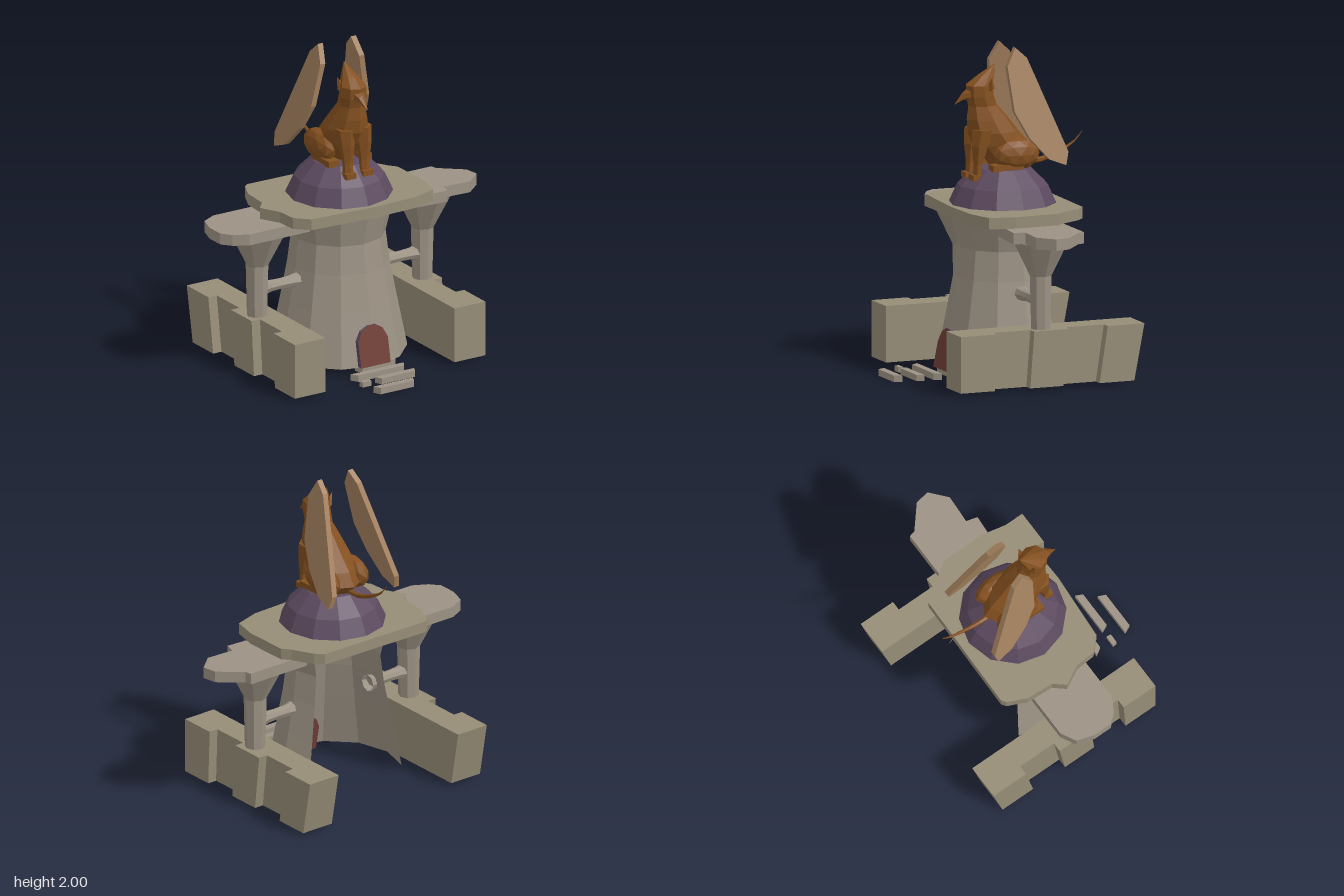
import * as THREE from 'three';

const CX = -0.022; // symmetry axis of the building
const CZ = -0.065; // tower axis in depth

const mat = (name, color) => {
  const m = new THREE.MeshStandardMaterial({ color, flatShading: true, side: THREE.DoubleSide });
  m.name = name;
  return m;
};

export function createModel() {
  const stone = mat('stone', 0x9c9284);
  const masonry = mat('masonry', 0x968d77);
  const purple = mat('purple', 0x5d4a60);
  const doorRed = mat('doorRed', 0x6f3f37);
  const brown = mat('brown', 0x84501f);
  const feather = mat('feather', 0xa5825f);

  const root = new THREE.Group();
  root.name = 'guardianTower';

  const add = (name, geo, material, x = 0, y = 0, z = 0, parent = root) => {
    const m = new THREE.Mesh(geo, material);
    m.name = name;
    m.position.set(x, y, z);
    parent.add(m);
    return m;
  };
  // Moves every vertex by a rule
  const warp = (geo, rule) => {
    const p = geo.attributes.position, v = new THREE.Vector3();
    for (let i = 0; i < p.count; i++) {
      v.fromBufferAttribute(p, i);
      rule(v);
      p.setXYZ(i, v.x, v.y, v.z);
    }
    geo.computeVertexNormals();
    return geo;
  };
  // Flat slab from a plan outline of [x, z] points
  const slab = (pts, y0, y1) => {
    const s = new THREE.Shape(pts.map(([x, z]) => new THREE.Vector2(x, -z)));
    const g = new THREE.ExtrudeGeometry(s, { depth: y1 - y0, bevelEnabled: false });
    return g.rotateX(-Math.PI / 2).translate(0, y0, 0);
  };
  // Body from rings [y, zFront, zBack, halfWidth], listed top to bottom
  const loft = (rings, sides) => {
    const n = rings.length - 1;
    return warp(new THREE.CylinderGeometry(1, 1, 1, sides, n), (v) => {
      const [y, f, b, w] = rings[Math.round((0.5 - v.y) * n)];
      v.set(v.x * w, y, (f + b) / 2 + v.z * (f - b) / 2);
    });
  };
  const lathe = (pts, segs, start = 0, len = Math.PI * 2) =>
    new THREE.LatheGeometry(pts.map(([r, y]) => new THREE.Vector2(r, y)), segs, start, len);

  // Tower shell, open at the back
  const arc = Math.PI * 4 / 3;
  add('towerShell', lathe([[0.415, 0.04], [0.35, 0.37], [0.307, 0.6], [0.285, 0.78], [0.33, 0.97]], 8, -arc / 2, arc),
    stone, CX, 0, CZ);

  // Top platform and side balconies
  add('platform', slab([[-0.43, -0.44], [0.33, -0.425], [0.38, -0.38], [0.45, -0.25], [0.49, -0.2], [0.495, 0.08],
    [0.46, 0.24], [0.3, 0.29], [0, 0.3], [-0.43, 0.27], [-0.51, 0.19], [-0.52, 0.06], [-0.585, -0.06],
    [-0.525, -0.13], [-0.515, -0.3], [-0.46, -0.42]], 0.97, 1.04), masonry);
  add('rightBalcony', slab([[-0.92, 0.02], [-0.92, -0.1], [-0.885, -0.21], [-0.79, -0.26], [-0.35, -0.26],
    [-0.35, 0.13], [-0.78, 0.13], [-0.87, 0.08]], 0.9, 0.97), stone);
  add('leftBalcony', slab([[0.33, -0.25], [0.76, -0.25], [0.77, -0.21], [0.91, -0.09], [0.925, 0], [0.82, 0.09],
    [0.64, 0.08], [0.62, 0.15], [0.33, 0.13]], 0.9, 0.97), stone);

  // Dome under the statue
  add('dome', lathe([[0.325, 1.04], [0.275, 1.15], [0.17, 1.255], [0, 1.275]], 12), purple, CX, 0, -0.055);

  // Arched door with a deep frame, leaning with the tower wall
  const arch = new THREE.Shape();
  arch.moveTo(-0.105, 0.045);
  arch.lineTo(0.105, 0.045);
  [[0.105, 0.2], [0.075, 0.26], [0.025, 0.29], [-0.025, 0.29], [-0.075, 0.26], [-0.105, 0.2]]
    .forEach(([x, y]) => arch.lineTo(x, y));
  const door = new THREE.ExtrudeGeometry(arch, { depth: 0.12, bevelEnabled: false });
  add('door', warp(door, (v) => { v.z += 0.235 - 0.2 * (v.y - 0.04); }), [doorRed, purple], CX);

  // Steps: [x0, x1, y0, y1, z0, z1]
  [[-0.13, 0.15, 0.01, 0.05, 0.29, 0.338], [-0.24, 0.14, 0.01, 0.05, 0.41, 0.455],
    [-0.14, 0.14, 0.012, 0.05, 0.525, 0.57], [-0.25, -0.18, 0.012, 0.045, 0.525, 0.555],
    [-0.22, 0.06, 0, 0.04, 0.635, 0.682]].forEach(([x0, x1, y0, y1, z0, z1]) => {
    const g = new THREE.BoxGeometry(x1 - x0, y1 - y0, z1 - z0);
    // ends taper a little toward the front
    warp(g, (v) => { if (v.z > 0) v.x *= 0.85; });
    add('step', g, stone, (x0 + x1) / 2, (y0 + y1) / 2, (z0 + z1) / 2);
  });

  for (const s of [-1, 1]) {
    const side = s > 0 ? 'left' : 'right';

    // Buttressed outer wall, leaning at the back and open below
    const plan = [[0.46, 0.51], [0.68, 0.51]];
    [0.275, 0.03, -0.2, -0.45].forEach((z, i) => {
      const w = i % 2 ? [0.62, 0.68] : [0.68, 0.62];
      plan.push([w[0], z], [w[1], z]);
    });
    plan.push([0.68, -0.69], [0.46, -0.69]);
    const wall = slab(plan.map(([x, z]) => [x * s, z]), 0.02, 0.365);
    const p = wall.attributes.position, keep = [];
    for (let i = 0; i < p.count; i += 3) {
      if (Math.max(p.getY(i), p.getY(i + 1), p.getY(i + 2)) > 0.1) keep.push(i, i + 1, i + 2);
    }
    wall.clearGroups();
    wall.setIndex(keep);
    add(side + 'Wall', warp(wall, (v) => {
      if (v.y < 0.1) v.z = 0.51 - (0.51 - v.z) * 0.945;
    }), masonry, CX);

    // Pillar with a flared head
    add(side + 'Pillar', lathe([[0.062, 0.36], [0.07, 0.69], [0.175, 0.9]], 8), stone, CX + s * 0.59, 0, -0.05);

    // Bracket joining pillar and tower
    const bracket = lathe([[0.055, -0.15], [0.038, -0.08], [0.034, 0], [0.038, 0.08], [0.055, 0.15]], 8);
    add(side + 'Bracket', bracket.rotateZ(Math.PI / 2), stone, CX + s * 0.425, 0.53, -0.05);
  }

  // Winged statue
  const statue = new THREE.Group();
  statue.name = 'statue';
  statue.position.x = CX;
  root.add(statue);
  const part = (name, geo, material, x, y, z) => add(name, geo, material, x, y, z, statue);

  part('body', loft([[1.885, 0.002, -0.002, 0.003], [1.82, 0.11, 0, 0.045], [1.765, 0.185, 0.01, 0.08],
    [1.7, 0.185, 0.005, 0.082], [1.64, 0.17, -0.015, 0.078], [1.56, 0.18, -0.085, 0.105], [1.48, 0.175, -0.15, 0.13],
    [1.4, 0.14, -0.22, 0.135], [1.32, 0.07, -0.265, 0.125], [1.255, 0.02, -0.2, 0.1]], 8), brown);

  // Beak, pointing forward and hooked down
  part('beak', warp(new THREE.CylinderGeometry(0, 1, 1, 6, 2).rotateX(Math.PI / 2), (v) => {
    const t = v.z + 0.5;
    v.set(v.x * 0.055, 1.722 + v.y * 0.05 - 0.07 * t * t, 0.14 + 0.122 * t);
  }), brown);

  // Tail, tapering along a curve
  const path = new THREE.CatmullRomCurve3([[1.285, -0.18], [1.28, -0.3], [1.325, -0.43], [1.375, -0.52], [1.435, -0.575]]
    .map(([y, z]) => new THREE.Vector3(0, y, z)));
  part('tail', warp(new THREE.CylinderGeometry(0.003, 0.022, 1, 6, 8), (v) => {
    const c = path.getPoint(v.y + 0.5);
    v.set(v.x * 0.8, c.y + v.z, c.z);
  }), brown);

  for (const s of [-1, 1]) {
    const side = s > 0 ? 'left' : 'right';
    part(side + 'Ear', new THREE.ConeGeometry(0.03, 0.08, 4).rotateZ(-s * 0.4), brown, s * 0.068, 1.78, 0.05);
    part(side + 'FrontLeg', loft([[1.5, 0.17, 0, 0.06], [1.4, 0.172, 0.06, 0.05], [1.29, 0.16, 0.105, 0.034],
      [1.2, 0.165, 0.11, 0.034]], 6), brown, s * 0.06);
    part(side + 'FrontPaw', new THREE.BoxGeometry(0.07, 0.035, 0.075), brown, s * 0.06, 1.212, 0.14);
    part(side + 'Haunch', new THREE.IcosahedronGeometry(1, 1).scale(0.07, 0.1, 0.15), brown, s * 0.108, 1.345, -0.1);
    part(side + 'HindPaw', new THREE.BoxGeometry(0.075, 0.04, 0.2), brown, s * 0.115, 1.27, -0.03);

    // Folded wing, leaning outward toward its tip
    const outline = [[-0.08, 2], [-0.15, 1.935], [-0.2, 1.81], [-0.375, 1.365], [-0.355, 1.285], [-0.25, 1.325],
      [-0.13, 1.46], [-0.045, 1.62], [-0.02, 1.89]];
    const wing = new THREE.ExtrudeGeometry(new THREE.Shape(outline.map(([z, y]) => new THREE.Vector2(-z, y))),
      { depth: 0.036, bevelEnabled: false });
    wing.rotateY(Math.PI / 2);
    part(side + 'Wing', warp(wing, (v) => {
      v.x = s * (v.x - 0.018 + 0.118 + (2 - v.y) * 0.19);
    }), feather);
    // keep outward winding on the mirrored side
    if (s < 0) {
      const q = wing.attributes.position, idx = [];
      for (let i = 0; i < q.count; i += 3) idx.push(i, i + 2, i + 1);
      wing.clearGroups();
      wing.setIndex(idx);
      wing.computeVertexNormals();
    }
  }

  return root;
}
